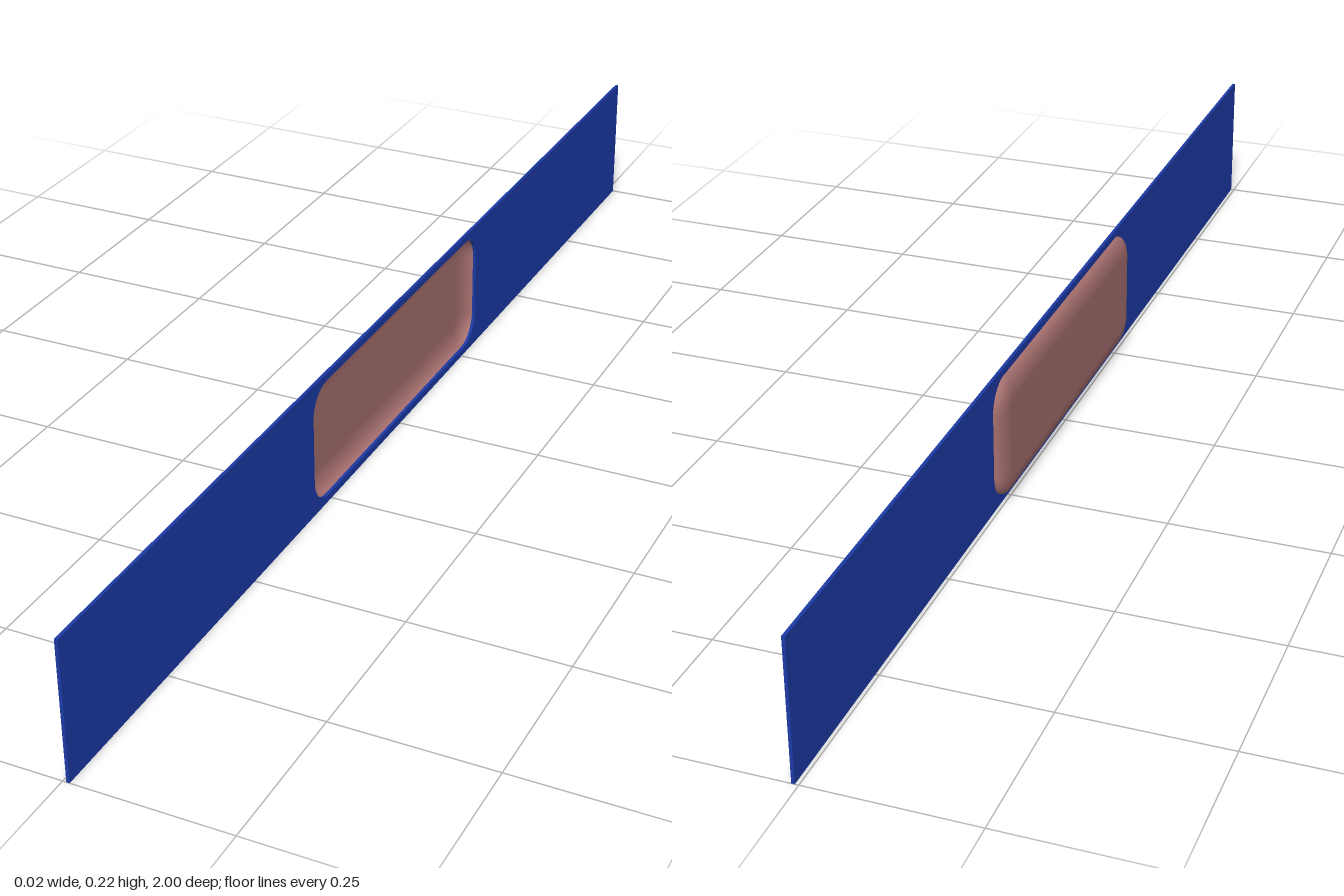
import * as THREE from 'three';

const LENGTH = 2, HEIGHT = 0.222, MID = HEIGHT / 2;
const BACK = 0.0055, FACE = 0.0105;          // strip thickness along x
const HALF_W = 0.305, HALF_H = 0.099, CORNER = 0.045;
const DEPTH = 0.016, BEVEL = 0.034;          // dish depth and width of its curved wall

// Rounded rectangle outline, counter-clockwise, moved inward by inset
function outline(inset) {
  const r = CORNER - inset, points = [], steps = 8;
  const cx = HALF_W - CORNER, cy = HALF_H - CORNER;
  [[1, 1], [-1, 1], [-1, -1], [1, -1]].forEach(([sx, sy], q) => {
    for (let i = 0; i <= steps; i++) {
      const a = (q + i / steps) * Math.PI / 2;
      points.push(new THREE.Vector2(sx * cx + r * Math.cos(a), MID + sy * cy + r * Math.sin(a)));
    }
  });
  return points;
}

// Long flat strip with a window for the dish
function stripGeometry() {
  const shape = new THREE.Shape([
    new THREE.Vector2(-LENGTH / 2, 0), new THREE.Vector2(LENGTH / 2, 0),
    new THREE.Vector2(LENGTH / 2, HEIGHT), new THREE.Vector2(-LENGTH / 2, HEIGHT),
  ]);
  shape.holes.push(new THREE.Path(outline(0).reverse()));
  return new THREE.ExtrudeGeometry(shape, { depth: FACE - BACK, bevelEnabled: false })
    .translate(0, 0, BACK).rotateY(Math.PI / 2);
}

// Thin dish: rings following a quarter ellipse, closed by a flat floor
function dishGeometry() {
  const positions = [], index = [], rings = 10;
  let n = 0;
  for (let k = 0; k <= rings; k++) {
    const t = (k / rings) * Math.PI / 2;
    const ring = outline(BEVEL * (1 - Math.cos(t)));
    n = ring.length;
    ring.forEach(p => positions.push(p.x, p.y, BACK - DEPTH * Math.sin(t)));
  }
  for (let k = 0; k < rings; k++) {
    for (let i = 0; i < n; i++) {
      const a = k * n + i, b = k * n + (i + 1) % n;
      index.push(a, b, a + n, b, b + n, a + n);
    }
  }
  const centre = positions.length / 3;
  positions.push(0, MID, BACK - DEPTH);
  for (let i = 0; i < n; i++) index.push(rings * n + i, rings * n + (i + 1) % n, centre);
  const geometry = new THREE.BufferGeometry();
  geometry.setAttribute('position', new THREE.Float32BufferAttribute(positions, 3));
  geometry.setIndex(index);
  geometry.computeVertexNormals();
  return geometry.rotateY(Math.PI / 2);
}

export function createModel() {
  const group = new THREE.Group();
  const add = (name, geometry, color) => {
    const mesh = new THREE.Mesh(geometry, new THREE.MeshStandardMaterial({ color, side: THREE.DoubleSide }));
    mesh.name = name;
    group.add(mesh);
  };
  add('strip', stripGeometry(), 0x1c3aa6);
  add('pad', dishGeometry(), 0xa56e6e);
  return group;
}
